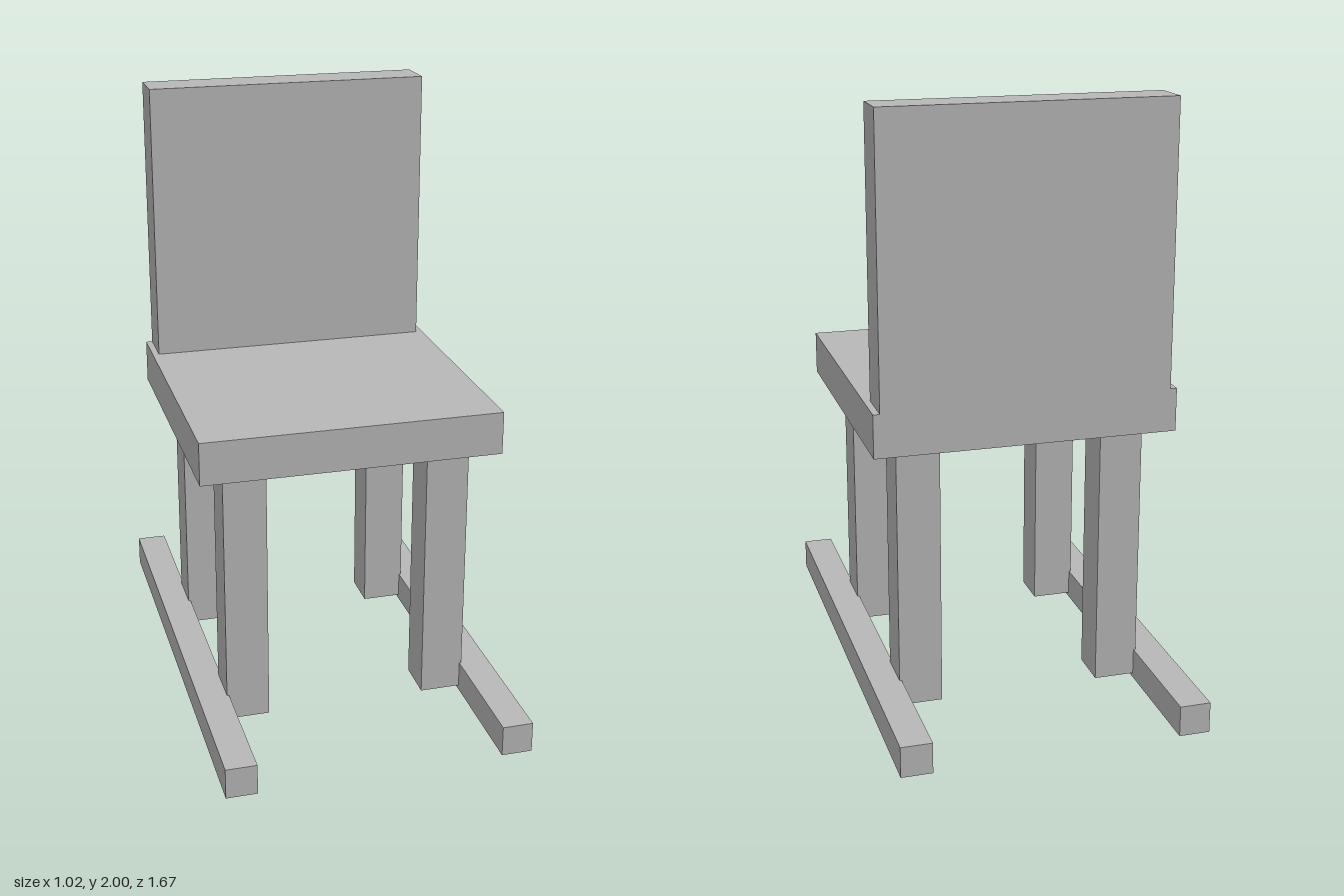
import * as THREE from 'three';

export function createModel() {
  const model = new THREE.Group();
  model.name = 'rockerChair';
  const grey = new THREE.MeshStandardMaterial({ color: 0xb8b8b8 });
  grey.name = 'grey';

  // Box given by its minimum and maximum corners
  function slab(name, [x0, y0, z0], [x1, y1, z1]) {
    const mesh = new THREE.Mesh(new THREE.BoxGeometry(x1 - x0, y1 - y0, z1 - z0), grey);
    mesh.position.set((x0 + x1) / 2, (y0 + y1) / 2, (z0 + z1) / 2);
    mesh.name = name;
    model.add(mesh);
    return mesh;
  }

  slab('seat', [-0.502, 0.915, -0.491], [0.502, 1.06, 0.491]);
  slab('backrest', [-0.48, 1.06, -0.491], [0.48, 2, -0.347]);

  // Four legs and two floor runners, mirrored about the centre
  for (const [side, sx] of [['left', 1], ['right', -1]]) {
    for (const [end, sz] of [['Front', 1], ['Back', -1]]) {
      const leg = slab(side + end + 'Leg', [0.271, 0.015, 0.271], [0.415, 0.915, 0.415]);
      leg.position.x *= sx;
      leg.position.z *= sz;
    }
    const runner = slab(side + 'Runner', [0.408, 0, -0.836], [0.511, 0.104, 0.836]);
    runner.position.x *= sx;
  }
  return model;
}
